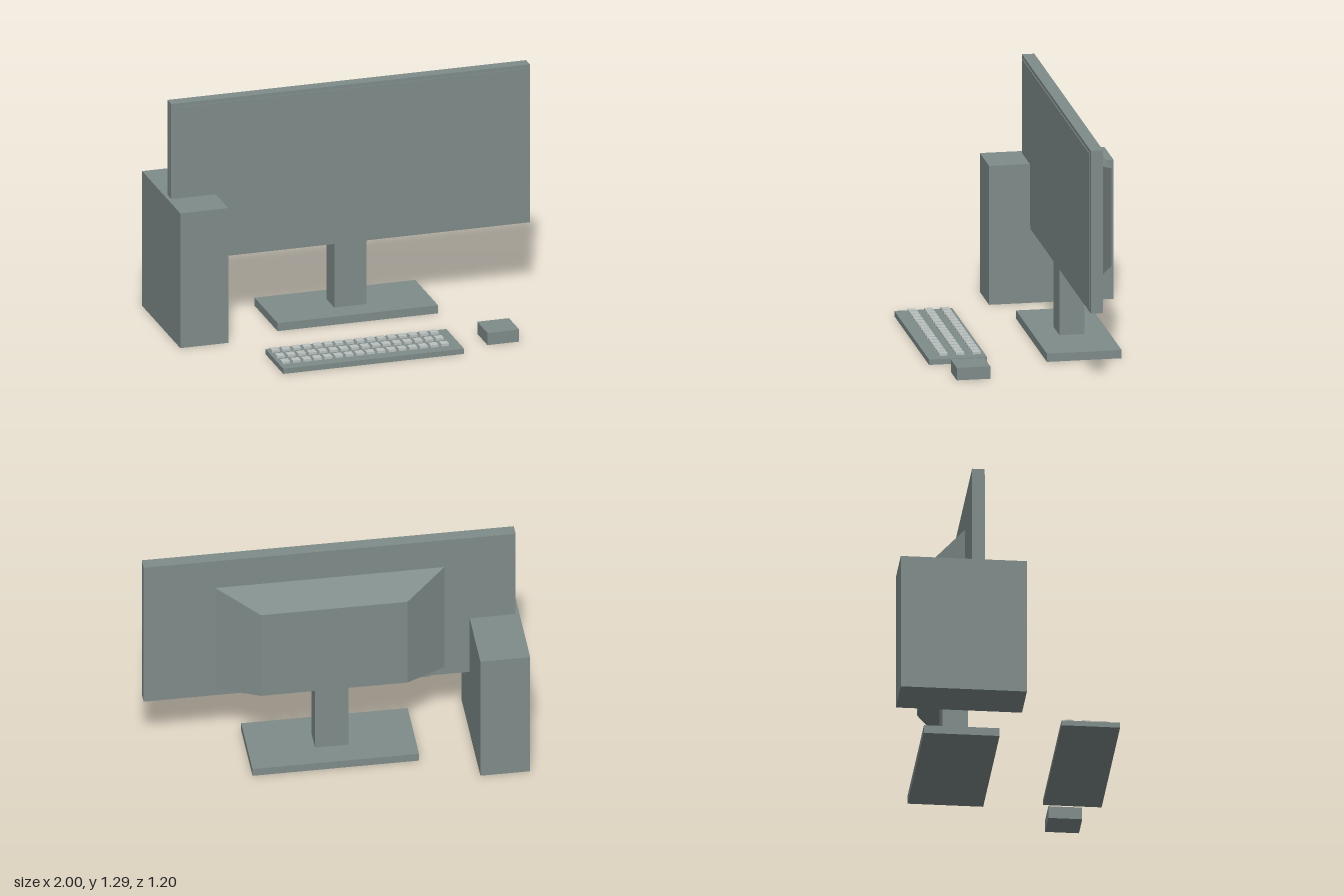
import * as THREE from 'three';

export function createModel() {
  const model = new THREE.Group();
  const grey = new THREE.MeshStandardMaterial({ color: 0x7f8c8a });
  grey.name = 'slate grey';
  const light = new THREE.MeshStandardMaterial({ color: 0xb9c1bf });
  light.name = 'light grey';

  // Box given by its extents along each axis
  function box(name, [x0, x1], [y0, y1], [z0, z1], material = grey, parent = model) {
    const mesh = new THREE.Mesh(new THREE.BoxGeometry(x1 - x0, y1 - y0, z1 - z0), material);
    mesh.position.set((x0 + x1) / 2, (y0 + y1) / 2, (z0 + z1) / 2);
    mesh.name = name;
    parent.add(mesh);
    return mesh;
  }

  // Computer tower
  box('tower', [-1, -0.735], [0, 0.757], [-0.6, 0.067]);

  // Monitor
  const monitor = new THREE.Group();
  monitor.name = 'monitor';
  model.add(monitor);
  box('monitorBody', [-0.98, 1], [0.402, 1.29], [-0.221, -0.155], grey, monitor);
  box('screen', [-0.96, 0.98], [0.422, 1.27], [-0.156, -0.151], grey, monitor);
  box('standNeck', [-0.08, 0.098], [0.04, 0.447], [-0.288, -0.155], grey, monitor);
  box('standBase', [-0.435, 0.451], [0, 0.045], [-0.422, -0.022], grey, monitor);

  // Tapered rear housing: the back face of a box is drawn inwards
  const housing = box('rearHousing', [-0.602, 0.62], [0.447, 1.113], [-0.377, -0.22], grey, monitor);
  const p = housing.geometry.attributes.position;
  for (let i = 0; i < p.count; i++) {
    if (p.getZ(i) > 0) continue;
    p.setX(i, Math.sign(p.getX(i)) * 0.39);
    p.setY(i, (p.getY(i) > 0 ? 1.025 : 0.49) - 0.78);
  }
  housing.geometry.computeVertexNormals();

  // Keyboard with three rows of keys
  const keyboard = new THREE.Group();
  keyboard.name = 'keyboard';
  model.add(keyboard);
  box('keyboardBody', [-0.6, 0.398], [0, 0.029], [0.289, 0.599], grey, keyboard);
  for (let row = 0; row < 3; row++) {
    for (let col = 0; col < 16; col++) {
      const x = -0.584 + col * 0.0585;
      const z = 0.31 + row * 0.089;
      box('key', [x, x + 0.043], [0.025, 0.042], [z, z + 0.044], light, keyboard);
    }
  }

  // Mouse
  box('mouse', [0.555, 0.73], [0, 0.068], [0.333, 0.512]);

  return model;
}
